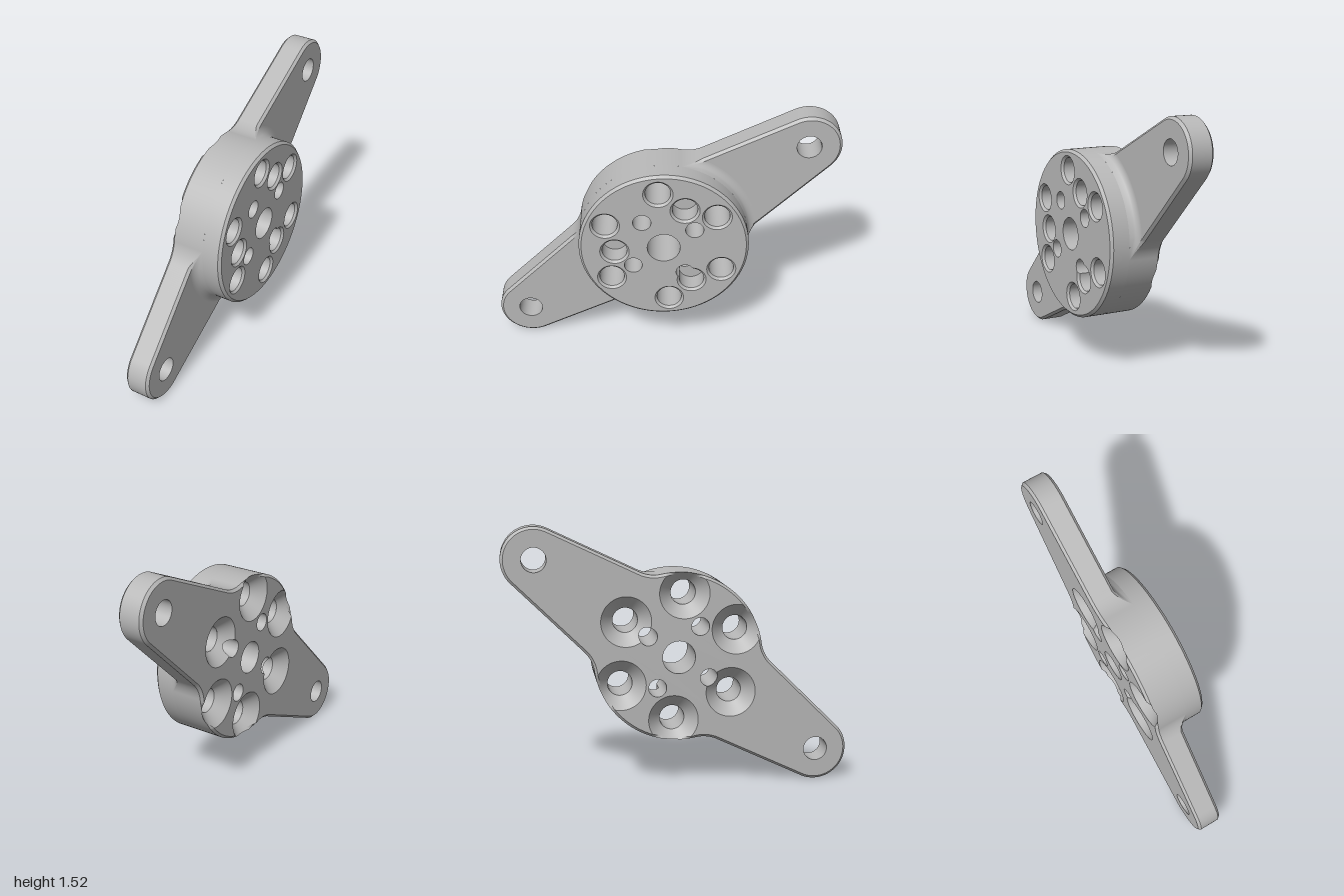
import * as THREE from 'three';

// Built lying in the XY plane (arms along X, thickness along Z), then stood up.
const BACK = -0.16, ARM = -0.01, FRONT = 0.155, C = 0.015;
const DISC = 0.49, FIL = 0.05, TIP = 0.996, TIP_R = 0.185, TAPER = 0.166, BLEND = 0.2;
const BOLT_AT = 0.37, BOLT_R = 0.072, RIM = 0.085, SINK = 0.145;
const PIN_AT = 0.216, PIN_R = 0.052, POCKET_AT = 0.285, FLOOR = 0.035;
const PI = Math.PI;

const range = (n, f) => Array.from({ length: n }, (_, i) => f(i));
const polar = (r, a, cx = 0, cy = 0) => [cx + r * Math.cos(a), cy + r * Math.sin(a)];
const arc = (r, a0, a1, n, cx = 0, cy = 0) => range(n + 1, i => polar(r, a0 + (a1 - a0) * i / n, cx, cy));
const circle = (r, cx = 0, cy = 0, n = 72) => range(n, i => polar(r, i * 2 * PI / n, cx, cy));
const at = (pts, z) => pts.map(([x, y]) => [x, y, typeof z === 'function' ? z(x, y) : z]);
const boltAngles = range(6, i => i * PI / 3);
const pinAngles = range(4, i => i * PI / 2);
const pocketAngles = [PI / 6, 5 * PI / 6, 3 * PI / 2];

// Distance along a ray at angle t to a circle centred at (d, 0)
const hit = (d, r, t, sign) => d * Math.cos(t) + sign * Math.sqrt(r * r - (d * Math.sin(t)) ** 2);

// Depth cut into the back by the countersinks
const sinkDepth = (x, y) => Math.max(0, ...boltAngles.map(a => {
  const [cx, cy] = polar(BOLT_AT, a);
  return SINK - Math.hypot(x - cx, y - cy);
}));

// Surface through successive rings of equal point count
function strip(rings, closed = true) {
  const n = rings[0].length, idx = [];
  for (let k = 0; k < rings.length - 1; k++) {
    for (let i = 0; i < (closed ? n : n - 1); i++) {
      const j = (i + 1) % n, a = k * n + i, b = k * n + j;
      idx.push(a, b, b + n, a, b + n, a + n);
    }
  }
  const g = new THREE.BufferGeometry();
  g.setAttribute('position', new THREE.Float32BufferAttribute(rings.flat(2), 3));
  g.setIndex(idx);
  g.computeVertexNormals();
  return g;
}

// Flat face with holes, facing +Z or -Z
function flat(pts, holes, z, down = false) {
  const v = list => list.map(p => new THREE.Vector2(p[0], p[1]));
  const s = new THREE.Shape(v(pts));
  s.holes = holes.map(h => new THREE.Path(v(h)));
  const g = new THREE.ShapeGeometry(s).translate(0, 0, z);
  if (down) {
    g.setIndex(Array.from(g.index.array).reverse());
    g.computeVertexNormals();
  }
  return g;
}

// Plan outline as points with outward normals: one quarter, mirrored
function makeOutline() {
  const na = PI / 2 - TAPER;
  const lineD = TIP_R + TIP * Math.sin(TAPER);
  const psi = Math.acos((lineD + BLEND) / (DISC + BLEND)), fa = na - psi;
  const [fx, fy] = polar(DISC + BLEND, fa);
  const q = [];
  const add = (p, a) => q.push([p[0], p[1], Math.cos(a), Math.sin(a)]);
  range(25, i => na * i / 24).forEach(a => add(polar(TIP_R, a, TIP), a));
  const p0 = polar(TIP_R, na, TIP), p1 = polar(BLEND, na + PI, fx, fy);
  range(49, i => (i + 1) / 50).forEach(t =>
    add([p0[0] + (p1[0] - p0[0]) * t, p0[1] + (p1[1] - p0[1]) * t], na));
  range(31, i => na - psi * i / 30).forEach(a => add(polar(BLEND, a + PI, fx, fy), a));
  range(60, i => fa + (PI / 2 - fa) * (i + 1) / 60).forEach(a => add(polar(DISC, a), a));
  const half = [...q, ...q.slice(0, -1).reverse().map(([x, y, nx, ny]) => [-x, y, -nx, ny])];
  return [...half, ...half.slice(1, -1).reverse().map(([x, y, nx, ny]) => [x, -y, nx, -ny])];
}

// Top height of the arms, rising in a fillet to the disc
const topZ = r => {
  const d = Math.min(FIL, Math.max(0, DISC + FIL - r));
  return ARM + FIL - Math.sqrt(FIL * FIL - d * d);
};

// Pocket edge; the pocket on the lower side is joined by a pin hole
function pocketEdge(a, r, mode) {
  const [cx, cy] = polar(POCKET_AT, a);
  if (a !== pocketAngles[2]) return circle(r, cx, cy);
  const d = POCKET_AT - PIN_AT;
  const al = Math.acos((d * d + r * r - PIN_R ** 2) / (2 * d * r));
  const be = Math.acos((d * d + PIN_R ** 2 - r * r) / (2 * d * PIN_R));
  const pts = arc(r, a + PI + al, a + 3 * PI - al, 60, cx, cy);
  if (mode === 'open') return pts;
  const end = mode === 'union' ? a + 2 * PI - be : a - be;
  return [...pts, ...arc(PIN_R, a + be, end, 30, ...polar(PIN_AT, a)).slice(1, -1)];
}

export function createModel() {
  const grey = new THREE.MeshStandardMaterial({ color: 0xb8b8b8 });
  grey.name = 'grey metal';
  const body = new THREE.Group();
  body.name = 'flangeBody';
  const add = (name, g) => {
    const m = new THREE.Mesh(g, grey);
    m.name = name;
    body.add(m);
    return m;
  };

  // Outer wall, with chamfers and countersink scallops
  const outline = makeOutline();
  const inset = outline.map(([x, y, nx, ny]) => [x - nx * C, y - ny * C]);
  const fade = outline.map(([x, y]) => C * Math.min(1, Math.max(0, (Math.hypot(x, y) - DISC) / FIL)));
  const topInset = outline.map(([x, y, nx, ny], i) => [x - nx * fade[i], y - ny * fade[i]]);
  const low = at(outline, (x, y) => BACK + Math.max(C, sinkDepth(x, y) * (Math.hypot(x, y) < DISC + 0.01 ? 1 : 0)));
  const high = outline.map(([x, y], i) => [x, y, topZ(Math.hypot(x, y)) - fade[i]]);
  const topEdge = at(topInset, (x, y) => topZ(Math.hypot(x, y)));
  add('backChamfer', strip([at(inset, (x, y) => BACK + sinkDepth(x, y)), low]));
  add('outerWall', strip([low, high]));
  add('armChamfer', strip([high, topEdge]));

  // Fillet between arms and disc
  add('discFillet', strip(range(9, k => topInset.map(([x, y]) => {
    const r0 = Math.min(Math.hypot(x, y), DISC + FIL), r = r0 + (DISC - r0) * k / 8;
    return [...polar(r, Math.atan2(y, x)), topZ(r)];
  }))));

  // Arm top faces and bolt holes
  const ang = p => Math.atan2(p[1], p[0]);
  const armPts = topInset.filter(p => p[0] > 0 && Math.hypot(...p) >= DISC + FIL).sort((a, b) => ang(a) - ang(b));
  const a1 = ang(armPts[armPts.length - 1]), a0 = ang(armPts[0]);
  const armFace = flat([...armPts, ...arc(DISC + FIL, a1, a0, 40)], [circle(0.07, TIP)], ARM);
  const armHole = strip([at(circle(0.07, TIP), ARM), at(circle(0.07, TIP), BACK)]);
  for (const turn of [0, PI]) {
    add('armFace', armFace).rotation.z = turn;
    add('armHole', armHole).rotation.z = turn;
  }

  // Raised disc
  add('discWall', strip([at(circle(DISC, 0, 0, 144), ARM + FIL), at(circle(DISC, 0, 0, 144), FRONT - C)]));
  add('discChamfer', strip([at(circle(DISC, 0, 0, 144), FRONT - C), at(circle(DISC - C, 0, 0, 144), FRONT)]));
  add('discFace', flat(circle(DISC - C, 0, 0, 144), [
    circle(0.095),
    ...boltAngles.map(a => circle(RIM, ...polar(BOLT_AT, a))),
    ...pinAngles.slice(0, 3).map(a => circle(PIN_R, ...polar(PIN_AT, a))),
    ...pocketAngles.map(a => pocketEdge(a, RIM, 'union')),
  ], FRONT));
  add('centreHole', strip([at(circle(0.095), FRONT), at(circle(0.095), BACK)]));

  // Countersunk through holes
  const step = FRONT - (RIM - BOLT_R), gap = BOLT_AT - PIN_AT, N = 180;
  const backHoles = [circle(0.095), circle(0.07, TIP), circle(0.07, -TIP)];
  boltAngles.forEach((a, i) => {
    const c = polar(BOLT_AT, a), inArm = i % 3 === 0;
    const ring = (r, z) => at(circle(r, ...c), z);
    add('boltHoleRim', strip([ring(RIM, FRONT), ring(BOLT_R, step)]));
    add('boltHole', strip([ring(BOLT_R, step), ring(BOLT_R, BACK + SINK - BOLT_R)]));
    const reach = t => {
      const h = inArm ? hit(-gap, PIN_R, t, -1) : hit(-BOLT_AT, DISC - C, t, 1);
      return h > 0 ? Math.min(SINK, h) : SINK;
    };
    const cone = f => range(N, k => {
      const t = k * 2 * PI / N, r = f(t);
      return [...polar(r, a + t, ...c), BACK + SINK - r];
    });
    add('countersink', strip([cone(() => BOLT_R), cone(reach)]));
    if (inArm) {
      backHoles.push(range(N, k => {
        const t = k * 2 * PI / N;
        return polar(Math.max(SINK, hit(-gap, PIN_R, t, 1) || 0), a + t, ...c);
      }));
    }
  });

  // Small pin holes
  const [px, py] = polar(POCKET_AT, pocketAngles[2]);
  const pinTop = (x, y) => {
    const d = Math.hypot(x - px, y - py);
    return d < BOLT_R ? FLOOR : Math.min(FRONT, step + d - BOLT_R);
  };
  pinAngles.forEach((a, i) => {
    const pts = circle(PIN_R, ...polar(PIN_AT, a), 120);
    add('pinHole', strip([at(pts, pinTop), at(pts, (x, y) => BACK + sinkDepth(x, y))]));
    if (i % 2) backHoles.push(circle(PIN_R, ...polar(PIN_AT, a)));
  });

  // Blind pockets
  pocketAngles.forEach((a, i) => {
    const ring = (r, z) => at(pocketEdge(a, r, 'open'), z);
    add('pocketRim', strip([ring(RIM, FRONT), ring(BOLT_R, step)], i < 2));
    add('pocketWall', strip([ring(BOLT_R, step), ring(BOLT_R, FLOOR)], i < 2));
    add('pocketFloor', flat(pocketEdge(a, BOLT_R, 'floor'), [], FLOOR));
  });

  // Back face, its edge following the countersinks that break the rim
  const edge = [], done = new Set();
  for (const p of inset) {
    const k = boltAngles.findIndex((a, i) => i % 3 && Math.hypot(p[0] - BOLT_AT * Math.cos(a), p[1] - BOLT_AT * Math.sin(a)) < SINK);
    if (k < 0) edge.push(p);
    else if (!done.has(k)) {
      done.add(k);
      const r = DISC - C;
      const g = Math.acos((r * r - BOLT_AT ** 2 - SINK ** 2) / (2 * BOLT_AT * SINK));
      const a = boltAngles[k];
      edge.push(...arc(SINK, a - g, a + g - 2 * PI, 60, ...polar(BOLT_AT, a)));
    }
  }
  add('backFace', flat(edge, backHoles, BACK, true));

  // Stand the part up, facing +X, arms tilted
  body.rotation.z = 0.6126;
  const model = new THREE.Group();
  model.name = 'flange';
  const upright = new THREE.Group();
  upright.name = 'uprightFlange';
  upright.rotation.y = PI / 2;
  upright.position.y = 0.757;
  upright.add(body);
  model.add(upright);
  return model;
}
